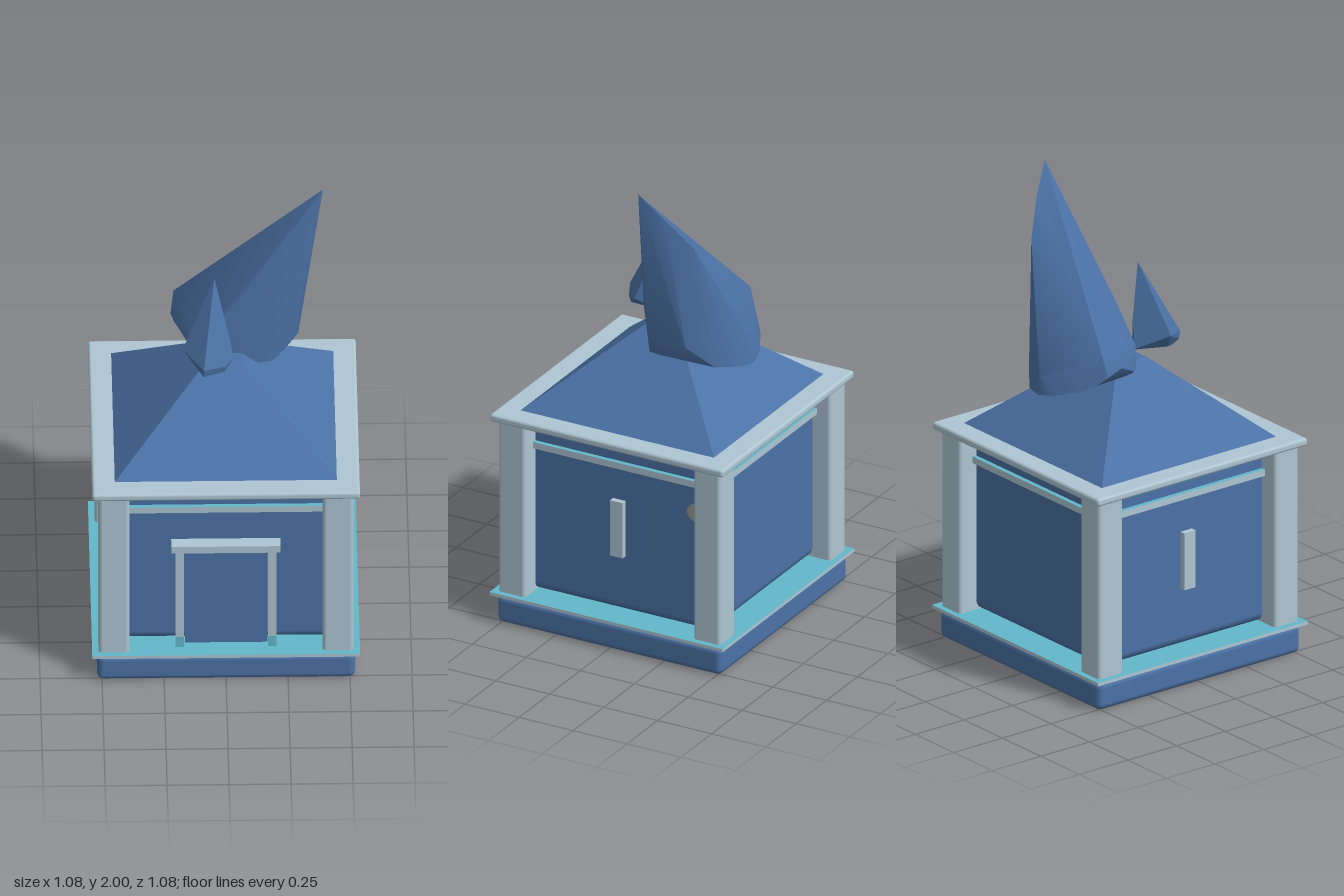
import * as THREE from 'three';
import { toCreasedNormals } from 'three/addons/utils/BufferGeometryUtils.js';
import { RoundedBoxGeometry } from 'three/addons/geometries/RoundedBoxGeometry.js';
import { ConvexGeometry } from 'three/addons/geometries/ConvexGeometry.js';

const material = (name, color) => {
  const m = new THREE.MeshStandardMaterial({ color });
  m.name = name;
  return m;
};

export function createModel() {
  const blue = material('slate blue', 0x4b72a6);
  const pale = material('pale stone', 0xaec6d2);
  const cyan = material('turquoise', 0x62b8cb);
  const grey = material('warm grey', 0x969793);
  const model = new THREE.Group();
  model.name = 'smallShrine';

  const add = (name, geometry, mat, parent = model) => {
    const mesh = new THREE.Mesh(geometry, mat);
    mesh.name = name;
    parent.add(mesh);
    return mesh;
  };
  // Box between two heights, centred on x and z
  const block = (name, w, y0, y1, d, mat, x = 0, z = 0, parent = model, r = 0) => {
    const g = r ? new RoundedBoxGeometry(w, y1 - y0, d, 2, r) : new THREE.BoxGeometry(w, y1 - y0, d);
    const mesh = add(name, g, mat, parent);
    mesh.position.set(x, (y0 + y1) / 2, z);
    return mesh;
  };
  // Pale box with a turquoise top face
  const cyanTop = [pale, pale, cyan, pale, pale, pale];

  // Base, floor and walls
  block('base', 1.04, 0, 0.118, 1.04, blue, 0, 0, model, 0.025);
  block('floorSlab', 1.08, 0.122, 0.136, 1.08, [pale, pale, cyan, cyan, pale, pale]);
  block('walls', 0.86, 0.136, 0.88, 0.86, blue, 0, 0, model, 0.04);
  block('wallTop', 0.83, 0.8, 0.9, 0.83, blue);

  // Corner pillars
  for (const x of [-0.452, 0.452]) for (const z of [-0.452, 0.452])
    block('cornerPillar', 0.125, 0.113, 0.905, 0.125, pale, x, z, model, 0.016);

  // Moulding on every wall
  for (let i = 0; i < 4; i++) {
    const side = new THREE.Group();
    side.name = 'wallMoulding';
    side.rotation.y = i * Math.PI / 2;
    block('mouldingStrip', 0.79, 0.777, 0.805, 0.03, cyanTop, 0, 0.435, side);
    model.add(side);
  }

  // Door and its frame
  block('door', 0.33, 0.136, 0.605, 0.03, blue, 0, 0.435);
  for (const s of [-1, 1]) {
    block('doorPost', 0.034, 0.185, 0.605, 0.06, pale, s * 0.186, 0.45);
    block('doorPostFoot', 0.034, 0.136, 0.185, 0.06, cyan, s * 0.186, 0.45);
  }
  block('doorLintel', 0.44, 0.603, 0.635, 0.075, pale, 0, 0.45);

  // Narrow side windows
  for (const s of [-1, 1])
    block('sideWindow', 0.04, 0.385, 0.632, 0.058, pale, s * 0.435, 0);

  // Round plate beside the rear pillar
  const plate = add('roundPlate', new THREE.CylinderGeometry(0.045, 0.045, 0.008, 24), grey);
  plate.rotation.z = Math.PI / 2;
  plate.scale.z = 1.4;
  plate.position.set(0.433, 0.658, -0.38);

  // Cornice and hipped roof
  block('cornice', 1.08, 0.898, 0.932, 1.08, pale, 0, 0, model, 0.012);
  const roof = new THREE.CylinderGeometry(0.075 * Math.SQRT2, 0.45 * Math.SQRT2, 0.325, 4)
    .toNonIndexed();
  roof.rotateY(Math.PI / 4);
  roof.computeVertexNormals();
  add('roof', roof, blue).position.y = 0.93 + 0.325 / 2;

  // Flame-like finials, each the hull of a few points
  const finial = (name, points, crease) => add(name, toCreasedNormals(
    new ConvexGeometry(points.map((p) => new THREE.Vector3(...p))), crease), blue);

  finial('largeFinial', [
    [0.4, 2, -0.07], [0.34, 1.88, -0.16], [0.26, 1.74, -0.25],
    [-0.2, 1.38, -0.25], [-0.212, 1.28, -0.23], [-0.2, 1.3, -0.15],
    [-0.095, 1.21, 0.01], [-0.09, 1.33, 0.008], [0.03, 1.47, 0.008],
    [0.1, 1.2, 0.015], [0.1, 1.27, 0.015], [0.2, 1.2, -0.01],
    [0.3, 1.45, -0.04], [0.3, 1.3, -0.06], [0.28, 1.24, -0.1],
    [0.28, 1.3, -0.22], [0.2, 1.2, -0.31], [0.1, 1.18, -0.385],
    [0.03, 1.175, -0.4], [0.03, 1.25, -0.39], [-0.05, 1.19, -0.38],
    [-0.14, 1.22, -0.33], [-0.19, 1.25, -0.27],
  ], 0.6);

  finial('smallFinial', [
    [-0.04, 1.66, 0.06], [-0.168, 1.36, 0.13], [-0.13, 1.3, 0.14],
    [-0.085, 1.33, 0.242], [-0.085, 1.295, 0.235], [0, 1.32, 0.2],
    [0, 1.29, 0.19], [0.036, 1.33, 0.155], [0.025, 1.39, 0.13],
    [0, 1.29, 0.08], [-0.04, 1.285, 0.03], [-0.07, 1.3, 0.022],
    [-0.05, 1.42, 0.025], [-0.1, 1.285, 0.18],
  ], 0.25);

  return model;
}
